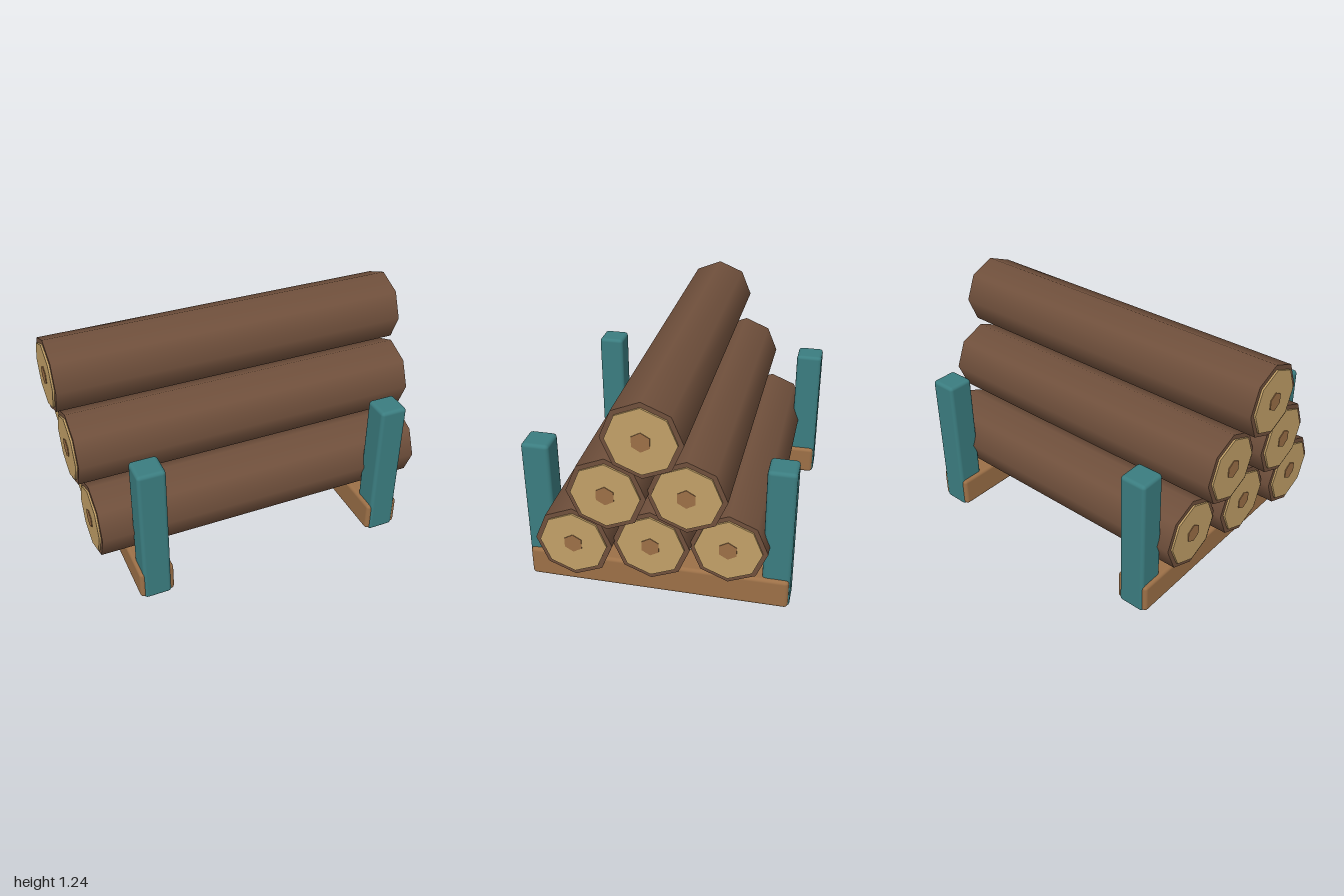
import * as THREE from 'three';
import { RoundedBoxGeometry } from 'three/addons/geometries/RoundedBoxGeometry.js';

const material = (name, color) => {
  const m = new THREE.MeshStandardMaterial({ color });
  m.name = name;
  return m;
};

export function createModel() {
  const bark = material('bark brown', 0x70503c);
  const cutWood = material('cut wood tan', 0xc2a067);
  const timber = material('timber brown', 0x9c7047);
  const teal = material('teal paint', 0x3b7d80);

  const model = new THREE.Group();
  model.name = 'logRack';

  const add = (parent, name, geometry, mat, x, y, z) => {
    const mesh = new THREE.Mesh(geometry, mat);
    mesh.name = name;
    mesh.position.set(x, y, z);
    parent.add(mesh);
    return mesh;
  };

  // Prism lying along x, with a corner pointing straight up
  const prism = (radius, length, sides) =>
    new THREE.CylinderGeometry(radius, radius, length, sides, 1, false, Math.PI / 2)
      .rotateZ(Math.PI / 2);

  // Log: bark, then a slightly raised cut face and heartwood at both ends
  const addLog = (y, z, halfLength) => {
    const log = new THREE.Group();
    log.name = 'log';
    log.position.set(-0.003, y, z);
    add(log, 'bark', prism(0.2, halfLength * 2, 8), bark, 0, 0, 0);
    for (const side of [-1, 1]) {
      add(log, 'cutFace', prism(0.174, 0.02, 8), cutWood, side * halfLength, 0, 0);
      add(log, 'heartwood', prism(0.051, 0.02, 6), timber, side * (halfLength + 0.004), 0, 0);
    }
    model.add(log);
  };

  // Pyramid of six logs: [height, depth, half length]
  [
    [0.37, 0.386, 0.915], [0.37, 0, 0.863], [0.37, -0.386, 0.814],
    [0.706, 0.193, 0.953], [0.706, -0.193, 0.899],
    [1.042, 0, 0.983],
  ].forEach((log) => addLog(...log));

  // Two cross rails, each with an upright post at both ends
  for (const x of [-0.675, 0.671]) {
    add(model, 'baseRail', new RoundedBoxGeometry(0.187, 0.167, 1.385, 2, 0.02), timber, x, 0.089, 0);
    for (const side of [-1, 1]) {
      add(model, 'uprightPost', new RoundedBoxGeometry(0.15, 0.808, 0.147, 2, 0.02), teal,
        x, 0.404, side * 0.626);
    }
  }

  return model;
}
